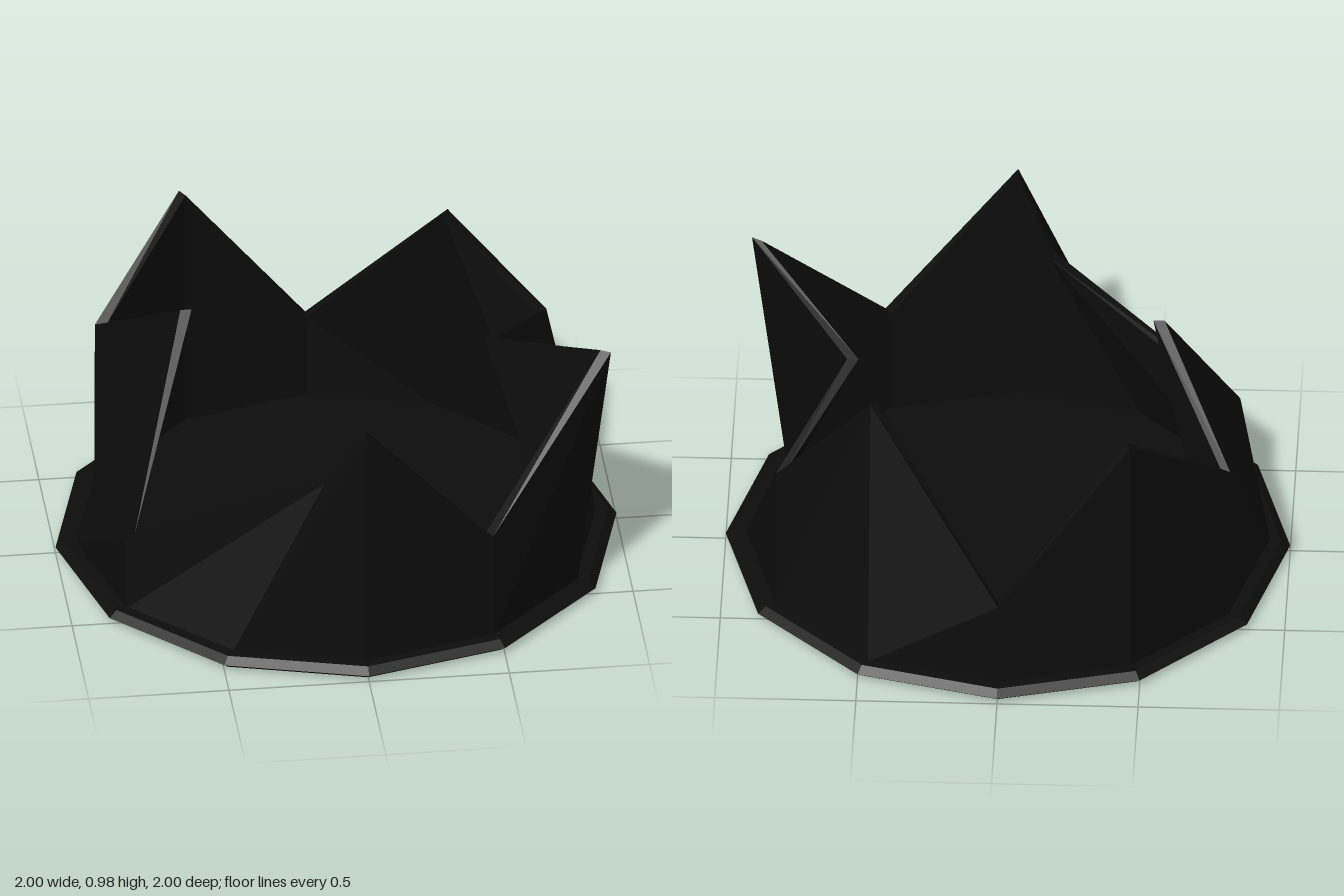
import * as THREE from 'three';

const SIDES = 12;
const WALL_RADIUS = 0.93;
const THICKNESS = 0.04;
const BASE_TOP = 0.045;

// Outer top corner of each wall column, going round from the front towards +x.
// Some columns bend inward or outward, so each corner has its own x, y, z.
const TOPS = [
  [0, 0.975, 0.93],
  [0.465, 0.45, 0.805],
  [0.925, 0.975, 0.465],
  [0.57, 0.78, 0],
  [0.805, 0.6, -0.465],
  [0.465, 0.975, -0.57],
  [0, 0.365, -0.93],
  [-0.465, 0.975, -0.805],
  [-0.805, 0.65, -0.465],
  [-0.555, 0.975, 0],
  [-0.805, 0.33, 0.465],
  [-0.135, 0.71, 0.8],
];

function faceted(geometry) {
  const flat = geometry.index ? geometry.toNonIndexed() : geometry;
  flat.computeVertexNormals();
  return flat;
}

// Thin jagged wall: outer skin, inner skin and the rim between them
function jaggedWall() {
  const columns = TOPS.map(([x, y, z], i) => {
    const angle = (i / SIDES) * Math.PI * 2;
    const s = Math.sin(angle), c = Math.cos(angle);
    const inner = WALL_RADIUS - THICKNESS;
    return {
      outBase: [s * WALL_RADIUS, BASE_TOP - 0.01, c * WALL_RADIUS],
      inBase: [s * inner, BASE_TOP - 0.01, c * inner],
      outTop: [x, y, z],
      inTop: [x - s * THICKNESS, y, z - c * THICKNESS],
    };
  });
  const positions = [];
  const quad = (a, b, c, d) => positions.push(...a, ...b, ...c, ...a, ...c, ...d);
  columns.forEach((p, i) => {
    const q = columns[(i + 1) % SIDES];
    quad(p.outBase, q.outBase, q.outTop, p.outTop);
    // the inner skin keeps the same diagonal as the outer skin
    positions.push(...p.inBase, ...q.inTop, ...q.inBase, ...p.inBase, ...p.inTop, ...q.inTop);
    quad(p.outTop, q.outTop, q.inTop, p.inTop);
  });
  const geometry = new THREE.BufferGeometry();
  geometry.setAttribute('position', new THREE.Float32BufferAttribute(positions, 3));
  return faceted(geometry);
}

export function createModel() {
  const model = new THREE.Group();
  model.name = 'jaggedStump';
  const black = new THREE.MeshStandardMaterial({ color: 0x0d0d0d });
  black.name = 'black';

  // Base plate with a bevelled edge
  const profile = [[0, 0], [0.97, 0], [1, 0.022], [0.97, BASE_TOP], [0, BASE_TOP]]
    .map(([r, y]) => new THREE.Vector2(r, y));
  const base = new THREE.Mesh(faceted(new THREE.LatheGeometry(profile, SIDES)), black);
  base.name = 'basePlate';

  const wall = new THREE.Mesh(jaggedWall(), black);
  wall.name = 'jaggedWall';

  model.add(base, wall);
  return model;
}
